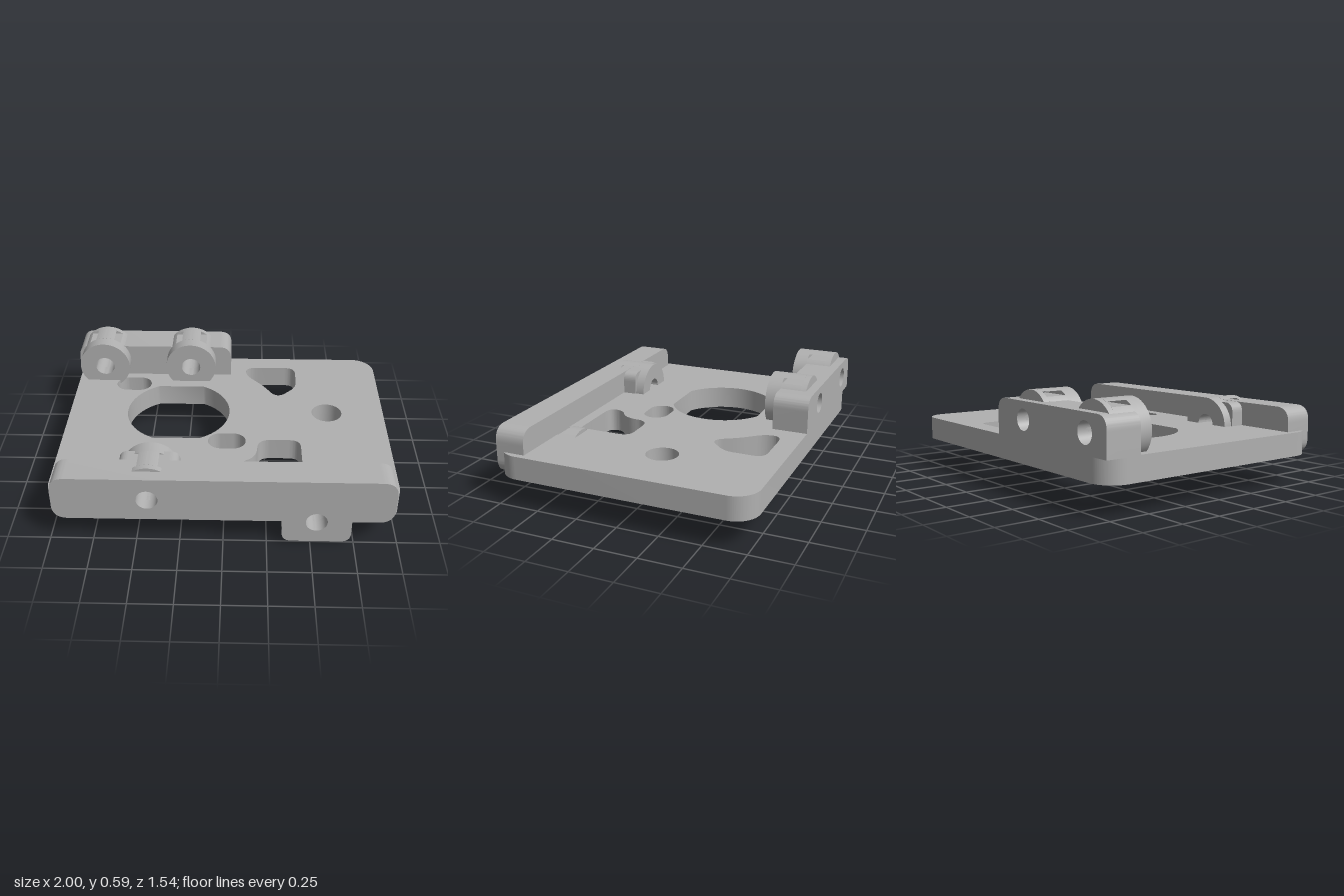
import * as THREE from 'three';
import { toCreasedNormals } from 'three/addons/utils/BufferGeometryUtils.js';

export function createModel() {
  const model = new THREE.Group();
  model.name = 'mountingPlate';
  const grey = new THREE.MeshStandardMaterial({ color: 0xb0b0b0 });
  grey.name = 'grey plastic';

  const HOLE_R = 0.062, RING_R = 0.165;

  // Polygon with every corner rounded; each point is [x, y, radius]
  function rounded(points, PathType = THREE.Shape) {
    const path = new PathType();
    const n = points.length;
    points.forEach(([x, y, r], i) => {
      const toward = ([px, py]) => {
        const d = Math.hypot(px - x, py - y), k = Math.min(r, d / 2) / d;
        return [x + (px - x) * k, y + (py - y) * k];
      };
      const a = toward(points[(i + n - 1) % n]);
      const b = toward(points[(i + 1) % n]);
      if (i === 0) path.moveTo(...a); else path.lineTo(...a);
      if (r > 0) path.quadraticCurveTo(x, y, ...b);
    });
    path.closePath();
    return path;
  }

  function circle(x, y, r) {
    return new THREE.Path().absarc(x, y, r, 0, Math.PI * 2, true);
  }

  function extrude(shape, depth) {
    const geo = new THREE.ExtrudeGeometry(shape, { depth, bevelEnabled: false, curveSegments: 20 });
    return toCreasedNormals(geo, 0.5);
  }

  // Solid with an outline in x and y, running from z0 to z1
  function slab(name, shape, z0, z1, parent = model) {
    const mesh = new THREE.Mesh(extrude(shape, z1 - z0), grey);
    mesh.position.z = z0;
    mesh.name = name;
    parent.add(mesh);
    return mesh;
  }

  // Base plate, drawn in x and z; its front is recessed inside the rail
  const R = 0.14, W = 1, D = 0.77;
  const plate = new THREE.Shape();
  plate.moveTo(-W + R, -D);
  plate.absarc(W - R, -D + R, R, -Math.PI / 2, 0, false);
  plate.absarc(W - R, D - R, R, 0, Math.PI / 2, false);
  [[W - R, 0.6], [0.609, 0.6], [0.609, 0.465], [0.475, 0.465], [0.475, 0.6], [-W + R, 0.6], [-W + R, D]]
    .forEach(p => plate.lineTo(...p));
  plate.absarc(-W + R, D - R, R, Math.PI / 2, Math.PI, false);
  plate.absarc(-W + R, -D + R, R, Math.PI, Math.PI * 1.5, false);

  // Large bore with flattened sides
  const bore = new THREE.Path();
  const flat = Math.asin(0.29 / 0.325);
  bore.absarc(-0.305, -0.11, 0.325, -flat, flat, false);
  bore.absarc(-0.305, -0.11, 0.325, Math.PI - flat, Math.PI + flat, false);
  bore.closePath();
  plate.holes.push(bore, circle(0.64, -0.11, 0.095));

  // Two oblong slots
  for (const [x, z] of [[-0.625, -0.428], [0.01, 0.205]]) {
    const slot = new THREE.Path();
    slot.absarc(x + 0.038, z, 0.077, -Math.PI / 2, Math.PI / 2, false);
    slot.absarc(x - 0.038, z, 0.077, Math.PI / 2, Math.PI * 1.5, false);
    slot.closePath();
    plate.holes.push(slot);
  }

  // Two irregular cut-outs
  plate.holes.push(
    rounded([[0.125, -0.65, 0.09], [0.46, -0.65, 0.07], [0.46, -0.41, 0.06], [0.33, -0.275, 0.08],
      [0.24, -0.42, 0.05], [0.125, -0.55, 0.06]], THREE.Path),
    rounded([[0.2, 0.19, 0.08], [0.46, 0.19, 0.07], [0.46, 0.52, 0.03], [0.085, 0.52, 0.07],
      [0.085, 0.42, 0.06], [0.19, 0.36, 0.1]], THREE.Path));
  const base = new THREE.Mesh(extrude(plate, 0.14), grey);
  base.rotation.x = Math.PI / 2;
  base.position.y = 0.315;
  base.name = 'basePlate';
  model.add(base);

  // Front rail with its hanging lug
  const rail = rounded([
    [-0.965, 0.175, 0.09], [0.335, 0.175, 0], [0.335, 0.027, 0.06], [0.73, 0.027, 0.06],
    [0.73, 0.175, 0], [0.965, 0.175, 0.09], [0.965, 0.458, 0.09], [-0.965, 0.458, 0.09]]);
  rail.holes.push(circle(-0.425, 0.315, HOLE_R), circle(0.53, 0.17, HOLE_R));
  slab('frontRail', rail, 0.59, 0.77);

  // Back part of the lug
  const lug = rounded([[0.335, 0.027, 0.06], [0.73, 0.027, 0.06], [0.73, 0.31, 0], [0.335, 0.31, 0]]);
  lug.holes.push(circle(0.53, 0.17, HOLE_R));
  slab('railLug', lug, 0.52, 0.59);

  // Pad behind the rail
  const pad = rounded([[-0.6, 0.2, 0], [-0.25, 0.2, 0], [-0.25, 0.457, 0.06], [-0.6, 0.457, 0.06]]);
  pad.holes.push(circle(-0.425, 0.315, HOLE_R));
  slab('railPad', pad, 0.505, 0.59);

  // Rear block
  const block = rounded([[-1, 0.31, 0], [0.02, 0.31, 0], [0.02, 0.53, 0.08], [-1, 0.53, 0.08]]);
  block.holes.push(circle(-0.82, 0.425, HOLE_R), circle(-0.245, 0.425, HOLE_R));
  slab('rearBlock', block, -0.77, -0.555);

  // Rod holder: wide ring, trimmed neck, end ring and an optional bridge over the neck
  function rodHolder(name, x, y, z, dir, bridged) {
    const holder = new THREE.Group();
    holder.name = name;
    holder.position.set(x, y, z);
    const span = (part, shape, a, b) =>
      slab(part, shape, Math.min(a * dir, b * dir), Math.max(a * dir, b * dir), holder);

    const ring = new THREE.Shape().absarc(0, 0, RING_R, 0, Math.PI * 2, false);
    ring.holes.push(circle(0, 0, HOLE_R));
    span('ring', ring, 0, 0.085);
    span('endRing', ring, 0.21, 0.245);

    const a = Math.asin(0.13 / RING_R);
    const neck = new THREE.Shape();
    neck.absarc(0, 0, RING_R, -a, a, false);
    neck.absarc(0, 0, RING_R, Math.PI - a, Math.PI + a, false);
    neck.holes.push(circle(0, 0, HOLE_R));
    span('neck', neck, 0.085, 0.21);

    if (bridged) {
      const b = Math.acos(0.06 / RING_R);
      const strip = new THREE.Shape().absarc(0, 0, RING_R, b, Math.PI - b, false);
      span('bridge', strip, 0.085, 0.21);
    }
    model.add(holder);
  }
  rodHolder('rearRightHolder', -0.82, 0.425, -0.47, -1, true);
  rodHolder('rearMiddleHolder', -0.245, 0.425, -0.47, -1, true);
  rodHolder('frontRailHolder', -0.425, 0.315, 0.45, 1, true);
  rodHolder('lugHolder', 0.53, 0.17, 0.47, 1, false);

  return model;
}
